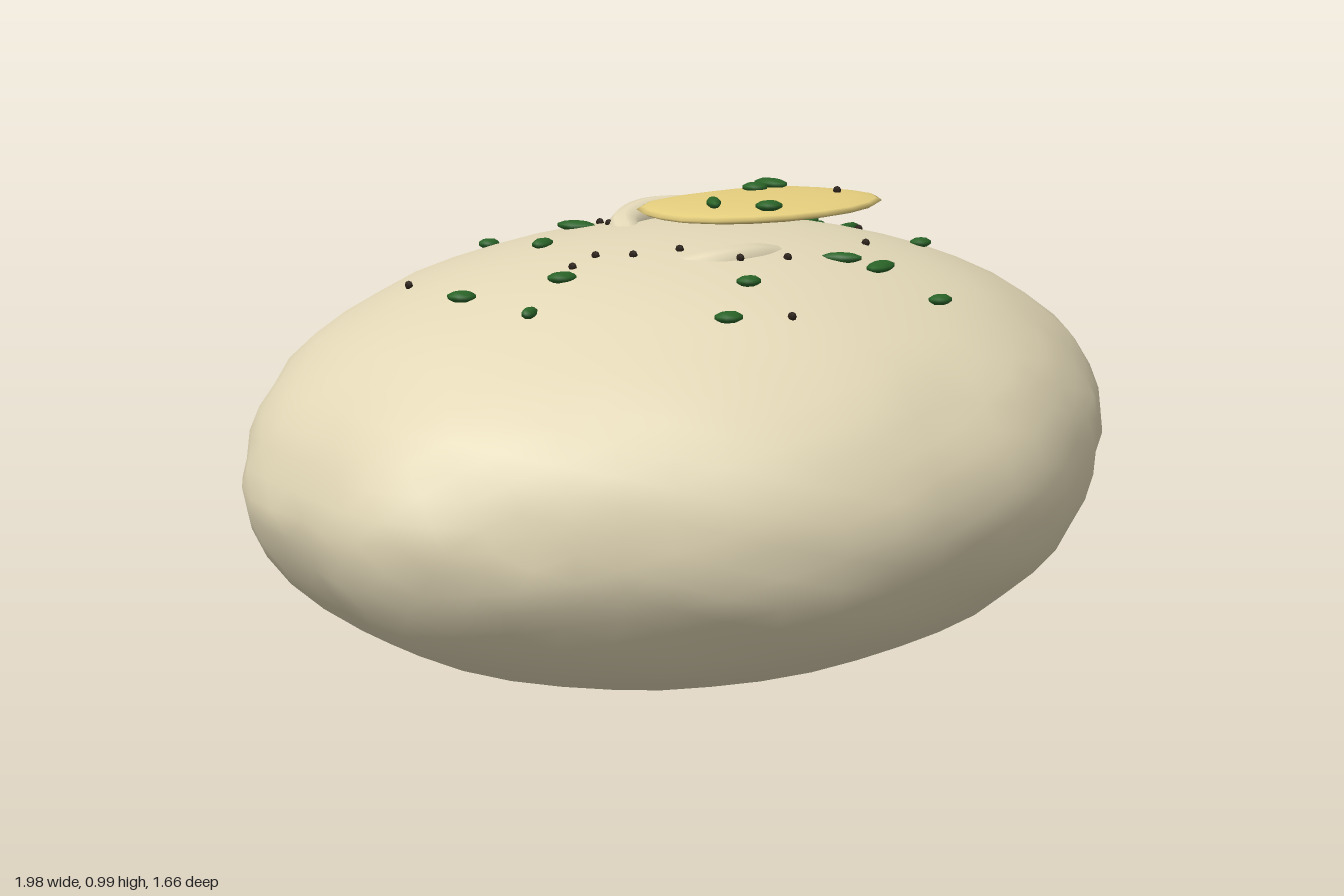
import * as THREE from 'three';
import { mergeVertices } from 'three/addons/utils/BufferGeometryUtils.js';

const mat = (name, color) => new THREE.MeshStandardMaterial({ name, color });
const HALF = 0.46, DEPTH = 0.82;

// outline factor every 15 degrees, from +x towards +z
const outline = [1.005, 0.985, 0.97, 0.95, 0.955, 0.99, 0.985, 1.02, 0.985, 0.965, 0.985, 1.02,
  0.955, 0.98, 0.965, 0.985, 1.015, 1.025, 1.012, 1.045, 1.01, 1.01, 0.995, 0.99];

function outlineAt(angle) {
  const t = ((angle / (Math.PI * 2) + 1) % 1) * 24;
  const i = Math.floor(t);
  return THREE.MathUtils.lerp(outline[i % 24], outline[(i + 1) % 24], t - i);
}

// small seeded generator, -1 to 1
function seeded(seed) {
  return () => {
    seed = (seed * 16807) % 2147483647;
    return (seed / 2147483647) * 2 - 1;
  };
}

// height of the mound's upper surface
const topY = (x, z) => HALF + 0.455 * Math.sqrt(Math.max(0, 1 - x * x - (z / DEPTH) ** 2));

// lumpy mound: a squashed ball, its vertices pushed in and out
function moundGeometry() {
  let g = new THREE.IcosahedronGeometry(1, 9);
  g.deleteAttribute('uv');
  g.deleteAttribute('normal');
  g = mergeVertices(g, 1e-4);
  const p = g.attributes.position;
  const rand = seeded(77);
  for (let i = 0; i < p.count; i++) {
    const x = p.getX(i), y = p.getY(i), z = p.getZ(i);
    const side = 1 - y * y;
    const m = THREE.MathUtils.lerp(0.99, outlineAt(Math.atan2(z, x)), side * side);
    const lump = 0.007 * Math.sin(11 * x - 7 * z + 6 * y) * Math.cos(9 * y + 5 * z)
      + 0.006 * Math.sin(8 * z + 10 * y) * Math.sin(9 * x + 2)
      + 0.006 * rand();
    const k = m + lump * side;
    p.setXYZ(i, x * k, HALF + y * HALF * (1 + lump * side), z * k * DEPTH);
  }
  g.computeVertexNormals();
  return g;
}

// pat of butter: a lens with a squarish, slightly uneven outline
function patGeometry() {
  let g = new THREE.SphereGeometry(1, 20, 10);
  g.deleteAttribute('uv');
  g.deleteAttribute('normal');
  g = mergeVertices(g, 1e-4);
  const p = g.attributes.position;
  for (let i = 0; i < p.count; i++) {
    const x = p.getX(i), y = p.getY(i), z = p.getZ(i);
    const a = Math.atan2(z, x);
    const c = Math.abs(Math.cos(a)), s = Math.abs(Math.sin(a));
    const k = (c ** 2.3 + s ** 2.3) ** (-1 / 2.3) * (1 + 0.015 * Math.sin(5 * a));
    p.setXYZ(i, x * k * 0.282, y * 0.021, z * k * 0.192);
  }
  g.computeVertexNormals();
  return g;
}

export function createModel() {
  const root = new THREE.Group();
  root.name = 'mashedMound';
  const mash = mat('mash', 0xe3d8b7);
  const butter = mat('butter', 0xe6cf7e);
  const herb = mat('herbGreen', 0x2a6428);
  const pepper = mat('pepperBrown', 0x2b2119);

  const add = (name, geometry, material, parent = root) => {
    const mesh = new THREE.Mesh(geometry, material);
    mesh.name = name;
    parent.add(mesh);
    return mesh;
  };

  add('mound', moundGeometry(), mash);

  // swirl ridges half sunk into the top
  const ridge = (name, points, radius) => {
    const curve = new THREE.CatmullRomCurve3(points.map(a => new THREE.Vector3(...a)));
    add(name, new THREE.TubeGeometry(curve, 20, radius, 10), mash);
  };
  ridge('backSwirl', [[-0.1, 0.88, -0.08], [-0.06, 0.9, -0.14], [0.03, 0.915, -0.175],
    [0.13, 0.912, -0.16], [0.24, 0.875, -0.08]], 0.037);
  ridge('frontSwirl', [[-0.2, 0.863, 0.2], [-0.14, 0.876, 0.237], [-0.06, 0.879, 0.248],
    [0.03, 0.863, 0.24]], 0.033);

  add('butterPat', patGeometry(), butter).position.set(0.12, 0.955, 0.083);

  // chopped herbs: x, z, half length, half width, turn, optional height
  const herbs = new THREE.Group();
  herbs.name = 'herbs';
  root.add(herbs);
  const leaf = new THREE.SphereGeometry(1, 8, 5);
  [
    [-0.59, 0.005, 0.03, 0.028, 0], [-0.57, 0.19, 0.028, 0.014, 0.6], [-0.44, 0.125, 0.033, 0.024, 0],
    [-0.31, -0.1, 0.032, 0.02, 0.5], [-0.235, -0.38, 0.025, 0.02, 0], [-0.13, -0.215, 0.045, 0.027, -1.1],
    [0.215, -0.415, 0.03, 0.025, 1.5], [0.315, -0.35, 0.03, 0.025, 0], [0.44, -0.105, 0.048, 0.025, 0.7],
    [0.52, -0.16, 0.03, 0.015, 0], [0.545, -0.085, 0.05, 0.014, 0.3], [0.495, 0.185, 0.027, 0.02, 0],
    [0.19, 0.525, 0.028, 0.02, 0], [0.155, 0.395, 0.05, 0.025, 0.4], [0.095, 0.345, 0.042, 0.017, -0.9],
    [-0.18, 0.37, 0.028, 0.021, 0], [-0.305, 0.45, 0.031, 0.025, 0],
    [0.18, 0, 0.029, 0.026, 0, 0.978], [0.25, -0.025, 0.048, 0.027, 1.5, 0.978],
    [-0.045, 0.12, 0.045, 0.015, 0.9, 0.978], [0.018, 0.215, 0.031, 0.025, 0, 0.976],
  ].forEach(([x, z, length, width, turn, y]) => {
    const mesh = add('herb', leaf, herb, herbs);
    mesh.position.set(x, y ?? topY(x, z) + 0.008, z);
    mesh.scale.set(length, 0.011, width);
    mesh.rotation.y = turn;
  });

  // pepper specks: x, z, optional height
  const specks = new THREE.Group();
  specks.name = 'pepperSpecks';
  root.add(specks);
  const grain = new THREE.SphereGeometry(0.009, 6, 4);
  [
    [-0.555, -0.22], [-0.11, -0.57], [-0.07, -0.21], [-0.095, -0.15], [0.29, -0.28], [0.25, -0.14],
    [0.36, -0.13], [0.525, -0.03], [-0.39, 0.095], [-0.32, 0.08], [-0.27, 0.135], [-0.18, 0.17],
    [-0.115, 0.275], [-0.02, 0.31], [0.25, 0.26], [-0.19, 0.5], [0.29, 0.135, 0.975],
  ].forEach(([x, z, y]) => {
    add('speck', grain, pepper, specks).position.set(x, y ?? topY(x, z) + 0.006, z);
  });

  return root;
}
